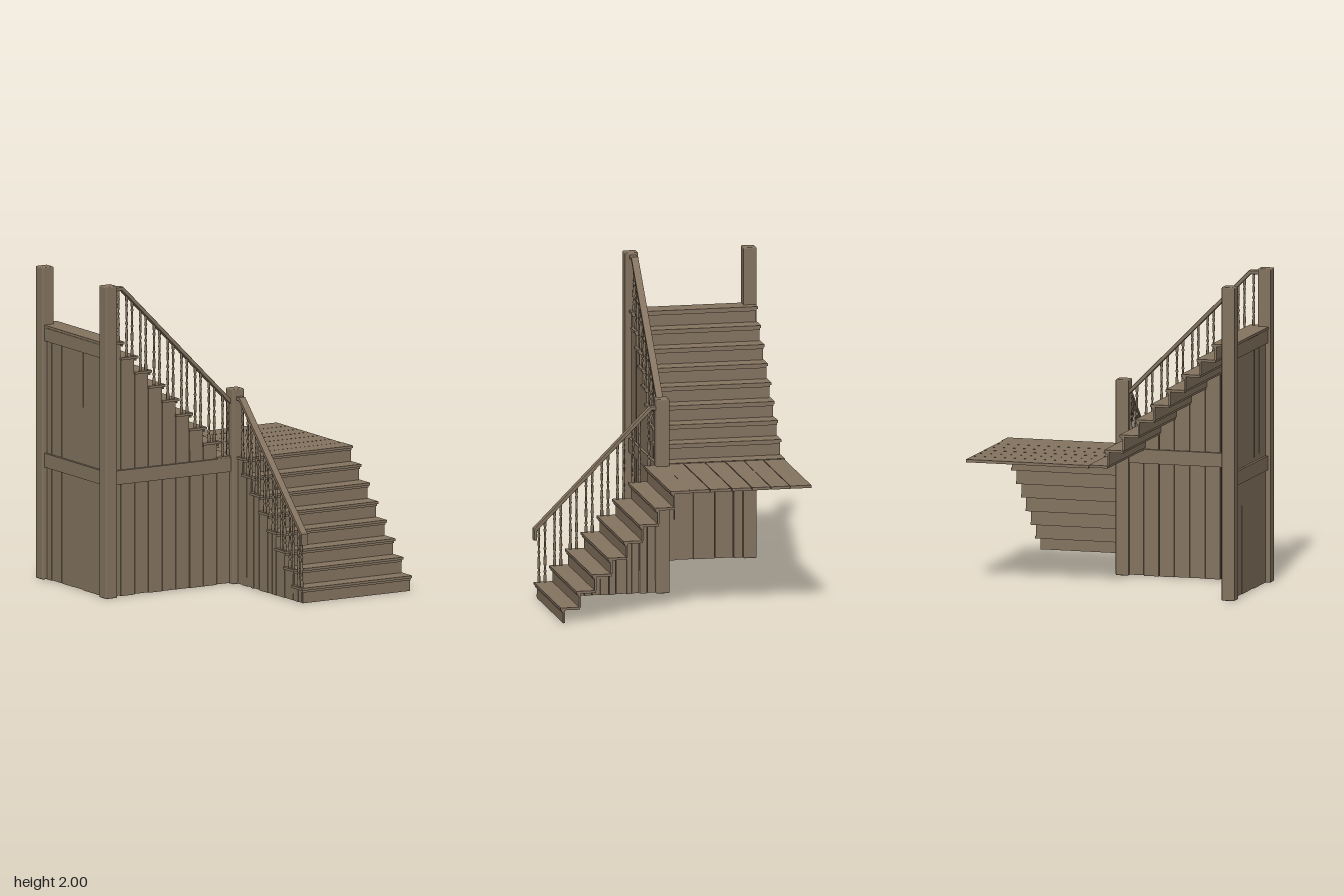
import * as THREE from 'three';
import { RoundedBoxGeometry } from 'three/addons/geometries/RoundedBoxGeometry.js';

const wood = new THREE.MeshStandardMaterial({ color: 0x857460 });
wood.name = 'weathered brown wood';

// small seeded random for hand-cut irregularity
let seed = 7;
const rand = () => (seed = (seed * 16807) % 2147483647) / 2147483647;

function add(parent, name, geometry, x = 0, y = 0, z = 0) {
  const mesh = new THREE.Mesh(geometry, wood);
  mesh.name = name;
  mesh.position.set(x, y, z);
  parent.add(mesh);
  return mesh;
}

// box given by its lower and upper corner
function box(parent, name, [x0, y0, z0], [x1, y1, z1]) {
  return add(parent, name, new THREE.BoxGeometry(x1 - x0, y1 - y0, z1 - z0),
    (x0 + x1) / 2, (y0 + y1) / 2, (z0 + z1) / 2);
}

// board whose long sides (along axis 'across') are slightly uneven
function plank(parent, name, lo, hi, across) {
  const mesh = box(parent, name, lo, hi);
  const p = mesh.geometry.attributes.position;
  const axis = 'xyz'.indexOf(across);
  const corner = Array.from({ length: 8 }, () => 0.001 + rand() * 0.002);
  for (let i = 0; i < p.count; i++) {
    const id = (p.getX(i) > 0 ? 1 : 0) + (p.getY(i) > 0 ? 2 : 0) + (p.getZ(i) > 0 ? 4 : 0);
    const v = p.getComponent(i, axis);
    p.setComponent(i, axis, v - Math.sign(v) * corner[id]);
  }
  mesh.geometry.computeVertexNormals();
  return mesh;
}

// turned spindle: [radius, fraction of height]
const TURNING = [
  [0.0, 0], [0.010, 0], [0.010, 0.10], [0.006, 0.13], [0.010, 0.17], [0.006, 0.21],
  [0.010, 0.32], [0.008, 0.42], [0.005, 0.49], [0.010, 0.53], [0.005, 0.57],
  [0.008, 0.68], [0.006, 0.78], [0.010, 0.82], [0.006, 0.86], [0.009, 0.89], [0.009, 1], [0, 1],
];
function baluster(parent, x, y0, y1) {
  const points = TURNING.map(([r, t]) => new THREE.Vector2(r, t * (y1 - y0)));
  add(parent, 'baluster', new THREE.LatheGeometry(points, 8), x, y0, 0);
}

// One straight flight climbing along local +x, with the rail side at z = 0
const RUN = 0.1013;
function flight(name, o) {
  const g = new THREE.Group();
  g.name = name;
  const railTop = (u) => Math.min(o.railBase + 1.006 * u, o.railMax);
  for (let k = 0; k < o.count; k++) {
    const u = k * RUN, top = o.firstTop + k * o.rise;
    const last = k === o.count - 1;
    const back = last ? o.end : u + 0.125;
    // tread, riser and the moulding under the nosing
    box(g, 'tread', [u, top - 0.016, o.z0], [back, top, o.z1]);
    if (k > 0 || o.firstRiser) {
      const low = Math.max(0, top - o.rise - 0.002);
      box(g, 'riser', [u + 0.018, low, 0], [u + 0.03, top - 0.016, o.z1 - 0.006]);
      box(g, 'noseMoulding', [u + 0.008, top - 0.03, o.z0 + 0.008], [u + 0.018, top - 0.016, o.z1 - 0.006]);
    }
    // side boarding reaching up to each tread
    const w0 = u + 0.018, w1 = Math.min(u + RUN + 0.018, o.wallEnd);
    const mid = w0 + (w1 - w0) * (0.4 + 0.3 * rand());
    const cuts = o.split && w1 - w0 > 0.08 ? [w0, mid, w1] : [w0, w1];
    for (let i = 1; i < cuts.length; i++) {
      plank(g, 'sideBoard', [cuts[i - 1], 0.005 * rand(), -0.010], [cuts[i], top - 0.016, 0.010], 'x');
    }
    // two spindles on each tread, one beside the top post
    for (const d of last ? [0.031] : [0.031, 0.071]) baluster(g, u + d, top, railTop(u + d) - 0.015);
  }
  // handrail
  const bend = (o.railMax - o.railBase) / 1.006;
  const t = 0.028;
  const s = new THREE.Shape();
  s.moveTo(o.railStart, railTop(o.railStart));
  s.lineTo(bend, o.railMax);
  s.lineTo(o.railEnd, o.railMax);
  s.lineTo(o.railEnd, o.railMax - 0.02);
  s.lineTo(bend + 0.008, o.railMax - 0.02);
  s.lineTo(o.railStart + 0.016, railTop(o.railStart + 0.016) - t);
  if (o.railDrop) {
    s.lineTo(o.railStart + 0.016, railTop(o.railStart) - o.railDrop);
    s.lineTo(o.railStart, railTop(o.railStart) - o.railDrop);
  } else {
    s.lineTo(o.railStart, railTop(o.railStart) - t);
  }
  const railGeo = new THREE.ExtrudeGeometry(s, { depth: 0.038, bevelThickness: 0.003, bevelSize: 0.002, bevelSegments: 1 });
  add(g, 'handrail', railGeo, 0, 0, -0.019);
  return g;
}

function post(parent, name, x, z, height) {
  add(parent, name, new RoundedBoxGeometry(0.086, height, 0.086, 2, 0.008), x, height / 2, z);
}

export function createModel() {
  seed = 7;
  const model = new THREE.Group();
  model.name = 'staircase';

  const lower = flight('lowerFlight', {
    count: 8, rise: 0.1025, firstTop: 0.1, firstRiser: true, end: 0.835, wallEnd: 0.78,
    z0: -0.018, z1: 0.797, railBase: 0.45, railMax: 1.2, railStart: -0.003, railEnd: 0.79,
    railDrop: 0.07, split: true,
  });
  lower.rotation.y = Math.PI / 2;
  lower.position.set(0.093, 0, 0.815);
  model.add(lower);

  const upper = flight('upperFlight', {
    count: 9, rise: 0.1013, firstTop: 0.822, firstRiser: false, end: 0.95, wallEnd: 0.9,
    z0: -0.025, z1: 0.79, railBase: 1.16, railMax: 1.982, railStart: 0.012, railEnd: 0.885,
    railDrop: 0, split: false,
  });
  upper.rotation.y = Math.PI;
  upper.position.set(0.07, 0, -0.015);
  model.add(upper);

  // landing boards
  const edges = [-0.803, -0.665, -0.54, -0.42, -0.29, -0.15, -0.018];
  for (let i = 1; i < edges.length; i++) {
    plank(model, 'landingBoard', [0.072, 0.8, edges[i - 1]], [0.882, 0.818, edges[i]], 'z');
  }

  // end wall boards between the tall posts
  const cuts = [-0.74, -0.67, -0.55, -0.41, -0.29, -0.18, -0.05];
  for (let i = 1; i < cuts.length; i++) {
    plank(model, 'endWallBoard', [-0.86, 0.005 * rand(), cuts[i - 1]], [-0.84, 1.6, cuts[i]], 'z');
  }

  // horizontal beams
  box(model, 'frontBeam', [-0.82, 0.72, -0.042], [0.055, 0.81, 0.012]);
  box(model, 'endBeam', [-0.877, 0.72, -0.74], [-0.823, 0.81, -0.04]);
  box(model, 'topEndBeam', [-0.877, 1.53, -0.74], [-0.823, 1.614, -0.04]);

  // posts
  post(model, 'frontTallPost', -0.85, -0.008, 2);
  post(model, 'backTallPost', -0.85, -0.771, 2);
  post(model, 'cornerPost', 0.087, -0.008, 1.25);

  return model;
}
